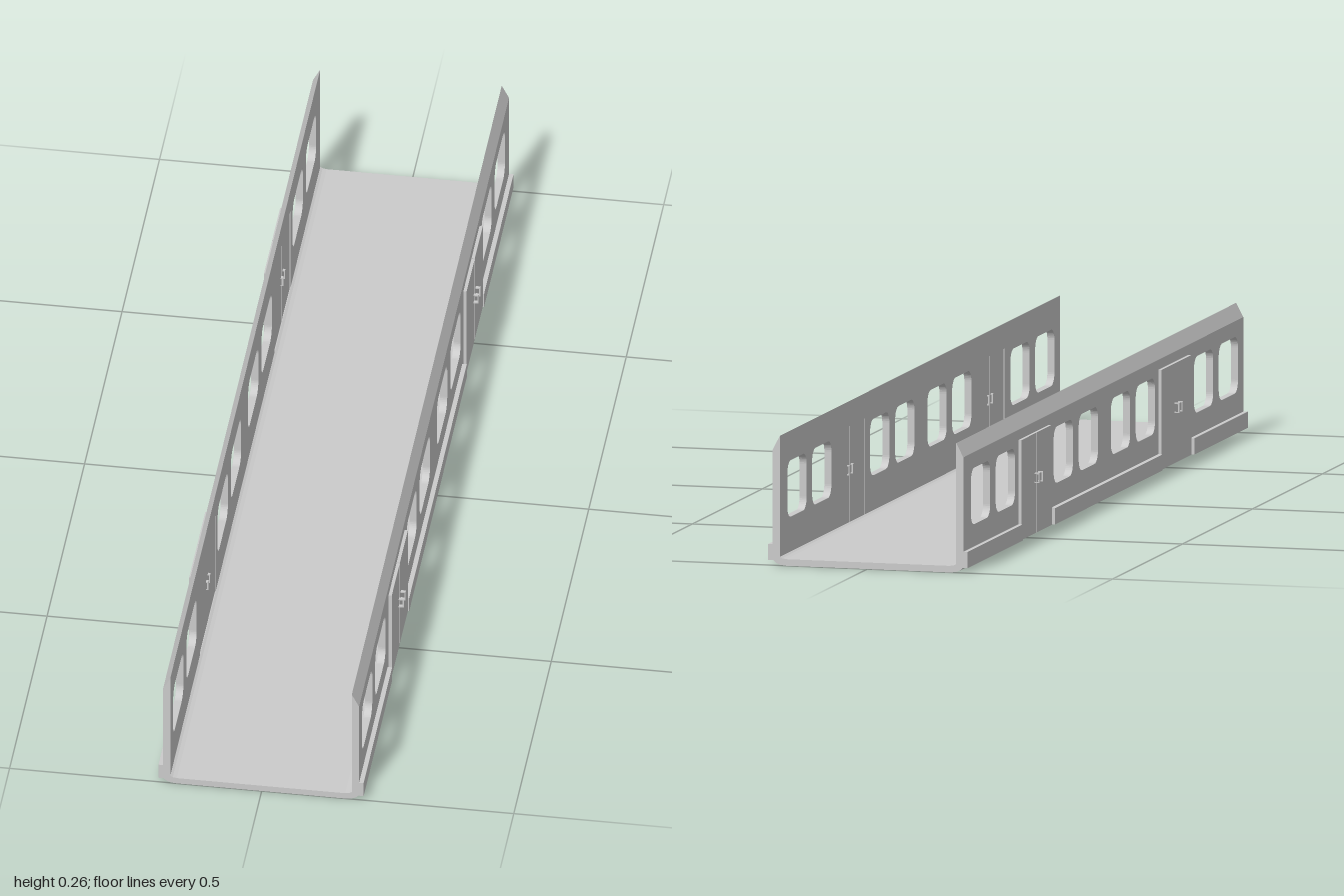
import * as THREE from 'three';

const material = new THREE.MeshStandardMaterial({ color: 0xcccccc, flatShading: true });
const OFFSET = -0.0013;          // the sides sit very slightly off centre
const INNER = 0.18, OUTER = 0.1945;
const DOORS = [0.5, -0.4985];    // door centres along the length
const WINDOWS = [0.893, 0.716, 0.3, 0.123, -0.107, -0.286, -0.7, -0.877];
const SKIRTS = [[0.62, 1], [-0.376, 0.392], [-1, -0.606]];

function add(parent, name, geometry) {
  const mesh = new THREE.Mesh(geometry, material);
  mesh.name = name;
  parent.add(mesh);
  return mesh;
}

function box(parent, name, x0, x1, y0, y1, z0, z1) {
  const mesh = add(parent, name, new THREE.BoxGeometry(Math.abs(x1 - x0), y1 - y0, z1 - z0));
  mesh.position.set((x0 + x1) / 2, (y0 + y1) / 2, (z0 + z1) / 2);
  return mesh;
}

const polygon = (points) => new THREE.Shape(points.map(([x, y]) => new THREE.Vector2(x, y)));
const rect = (x0, x1, y0, y1) => polygon([[x0, y0], [x1, y0], [x1, y1], [x0, y1]]);

// cross-section in x and y, extruded along z around a centre
function extrudeZ(shape, length, centre = 0) {
  return new THREE.ExtrudeGeometry(shape, { depth: length, bevelEnabled: false })
    .translate(0, 0, centre - length / 2);
}

function roundedRect(x0, x1, y0, y1, r) {
  const p = new THREE.Path();
  p.absarc(x1 - r, y1 - r, r, 0, Math.PI / 2);
  p.absarc(x0 + r, y1 - r, r, Math.PI / 2, Math.PI);
  p.absarc(x0 + r, y0 + r, r, Math.PI, Math.PI * 1.5);
  p.absarc(x1 - r, y0 + r, r, Math.PI * 1.5, Math.PI * 2);
  p.closePath();
  return p;
}

function makeSide(s) {
  const side = new THREE.Group();
  side.name = s > 0 ? 'leftSide' : 'rightSide';

  // wall drawn in z and y, with window and door openings
  const wall = rect(-1, 1, 0.011, 0.229);
  for (const z of WINDOWS) wall.holes.push(roundedRect(z - 0.069, z + 0.069, 0.086, 0.198, 0.024));
  for (const z of DOORS) wall.holes.push(rect(z - 0.105, z + 0.105, 0.014, 0.207));
  const wallGeometry = new THREE.ExtrudeGeometry(wall, {
    depth: OUTER - INNER, bevelEnabled: false, curveSegments: 5,
  });
  wallGeometry.rotateY(-Math.PI / 2).translate(s > 0 ? OUTER : -INNER, 0, 0);
  add(side, 'wall', wallGeometry);

  // sloping top edge
  const cap = polygon([[s * INNER, 0.229], [s * OUTER, 0.229], [s * INNER, 0.257]]);
  add(side, 'slopedTopEdge', extrudeZ(cap, 2));

  // raised sill strips between the doors
  for (const [z0, z1] of SKIRTS) {
    box(side, 'sillStrip', s * 0.193, s * 0.2035, 0.01, 0.042, z0, z1);
  }

  for (const z of DOORS) {
    const door = new THREE.Group();
    door.name = 'doubleDoor';
    side.add(door);
    // two leaves with a narrow seam closed by a strip
    box(door, 'doorLeaf', s * 0.1815, s * 0.201, 0.011, 0.209, z - 0.1075, z - 0.0015);
    box(door, 'doorLeaf', s * 0.1815, s * 0.201, 0.011, 0.209, z + 0.0015, z + 0.1075);
    box(door, 'doorSeam', s * 0.187, s * 0.196, 0.011, 0.209, z - 0.003, z + 0.003);
    // handles pass through the door as thin square loops
    for (const dz of [-0.012, 0.012]) {
      const loop = rect(s * 0.1765, s * 0.211, 0.111, 0.131);
      loop.holes.push(rect(s * 0.179, s * 0.2085, 0.1135, 0.1285));
      add(door, 'doorHandle', extrudeZ(loop, 0.006, z + dz));
    }
  }
  return side;
}

export function createModel() {
  const model = new THREE.Group();
  model.name = 'carriageBody';

  // floor with softly turned-up edges
  const edge = [[0.168, 0], [0.18, 0.0015], [0.188, 0.005], [0.1945, 0.011],
    [0.18, 0.017], [0.175, 0.0145], [0.167, 0.013]];
  const mirrored = edge.map(([x, y]) => [-x, y]).reverse();
  add(model, 'floor', extrudeZ(polygon([...edge, ...mirrored]), 2));

  for (const s of [1, -1]) model.add(makeSide(s));
  for (const part of model.children) part.position.x = OFFSET;
  return model;
}
